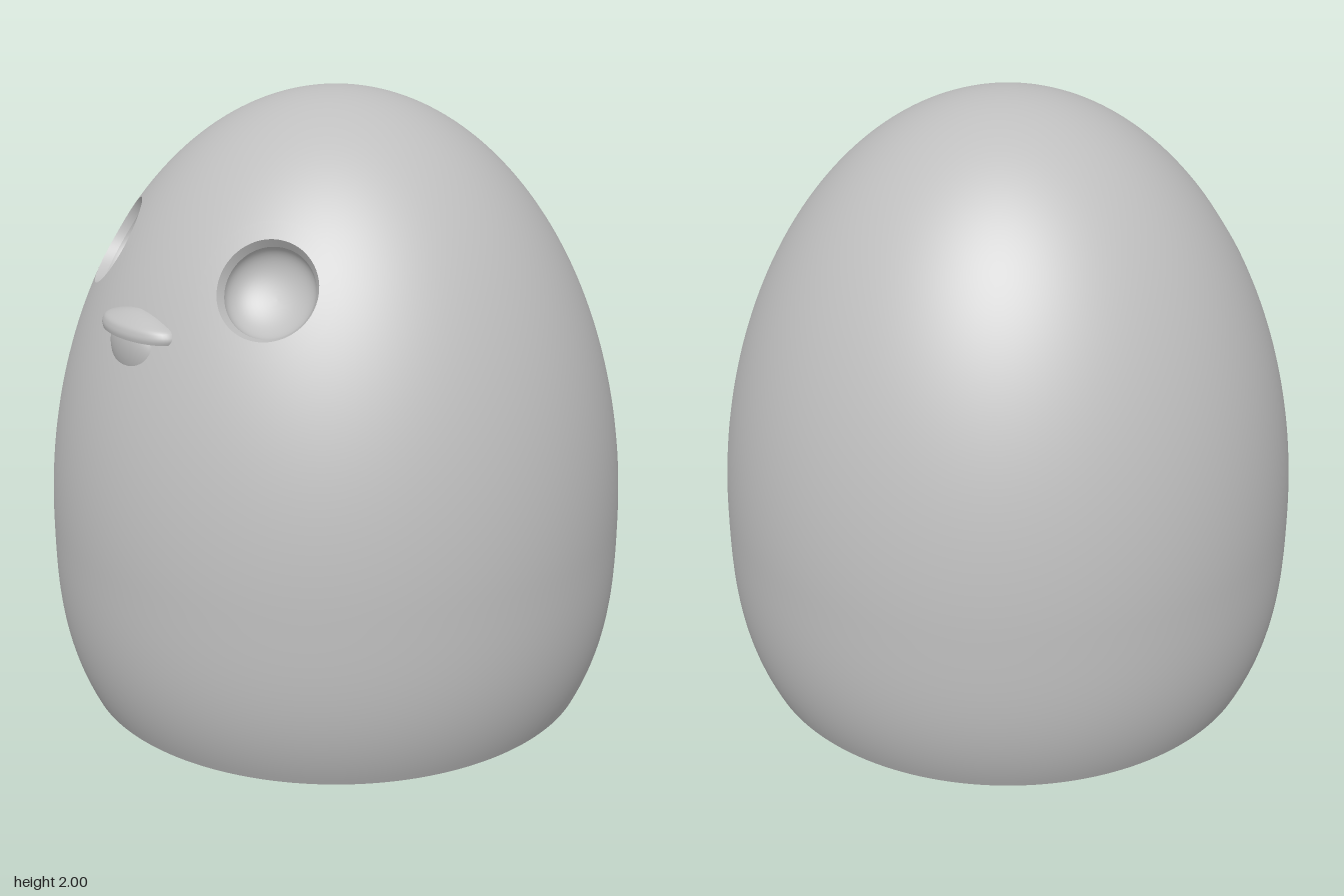
import * as THREE from 'three';

const WIDEST = 0.945, BELLY = 0.6, EYE_R = 0.155;

// Egg radius at height y: half ellipse above the belly, gentle tuck below it
function eggRadius(y) {
  if (y >= BELLY) return WIDEST * Math.sqrt(Math.max(0, 1 - ((y - BELLY) / (2 - BELLY)) ** 2));
  return WIDEST * (1 - 0.106 * ((BELLY - y) / BELLY) ** 3);
}

// Local frame of an eye socket on the egg
function eyeFrame(side) {
  const a = Math.atan2(0.38 * side, -0.58), r = eggRadius(1.53);
  const centre = new THREE.Vector3(Math.cos(a) * r, 1.53, Math.sin(a) * r);
  const n = new THREE.Vector3(Math.cos(a) * 0.866, 0.5, Math.sin(a) * 0.866).normalize();
  const t1 = new THREE.Vector3(0, 1, 0).cross(n).normalize();
  const t2 = n.clone().cross(t1);
  return { centre, n, t1, t2 };
}

// Concentric rings [radius, depth] around an eye, measured from the egg surface
function ringSurface({ centre, n, t1, t2 }, rings, segs = 64) {
  const pos = [], idx = [];
  rings.forEach(([rho, depth], i) => {
    for (let j = 0; j < segs; j++) {
      const a = (j / segs) * Math.PI * 2;
      const p = centre.clone().addScaledVector(t1, rho * Math.cos(a)).addScaledVector(t2, rho * Math.sin(a));
      for (let k = 0; k < 10; k++) p.addScaledVector(n, -0.85 * (Math.hypot(p.x, p.z) - eggRadius(p.y)));
      p.addScaledVector(n, -depth);
      pos.push(p.x, p.y, p.z);
      if (i === rings.length - 1) continue;
      const b = i * segs + ((j + 1) % segs), c = i * segs + j;
      idx.push(c, b, c + segs, b, b + segs, c + segs);
    }
  });
  const g = new THREE.BufferGeometry();
  g.setAttribute('position', new THREE.Float32BufferAttribute(pos, 3));
  g.setIndex(idx);
  g.computeVertexNormals();
  return g;
}

// Egg shell with the triangles over the eye sockets left out
function shellGeometry(eyes) {
  const profile = [];
  for (let i = 0; i < 24; i++) {
    const y = (BELLY * i) / 24;
    profile.push(new THREE.Vector2(eggRadius(y), y));
  }
  for (let i = 0; i <= 72; i++) {
    const a = (i / 72) * Math.PI / 2;
    profile.push(new THREE.Vector2(i === 72 ? 0 : WIDEST * Math.cos(a), BELLY + (2 - BELLY) * Math.sin(a)));
  }
  const g = new THREE.LatheGeometry(profile, 160);
  const pos = g.attributes.position, old = g.index.array, kept = [];
  const v = new THREE.Vector3();
  const inEye = (i) => eyes.some(({ centre, n }) => {
    v.fromBufferAttribute(pos, i).sub(centre);
    return v.length() < 0.4 && v.addScaledVector(n, -v.dot(n)).length() < EYE_R * 1.05;
  });
  for (let i = 0; i < old.length; i += 3) {
    const tri = [old[i], old[i + 1], old[i + 2]];
    if (!tri.some(inEye)) kept.push(...tri);
  }
  g.setIndex(kept);
  return g;
}

export function createModel() {
  const group = new THREE.Group();
  const grey = new THREE.MeshStandardMaterial({ color: 0xbfbfbf, side: THREE.DoubleSide });
  grey.name = 'grey';
  const add = (name, geometry, parent = group) => {
    const m = new THREE.Mesh(geometry, grey);
    m.name = name;
    parent.add(m);
    return m;
  };

  // Body
  const eyes = [-1, 1].map(eyeFrame);
  add('body', shellGeometry(eyes));

  // Eye sockets: surface collar, short bevelled rim, hollow bowl
  const bowl = [];
  for (let i = 0; i <= 14; i++) {
    const a = (i / 14) * Math.PI / 2;
    bowl.push([0.14 * Math.cos(a) + 1e-5, 0.03 + 0.09 * Math.sin(a)]);
  }
  eyes.forEach((eye, i) => {
    const socket = new THREE.Group();
    socket.name = i ? 'leftEyeSocket' : 'rightEyeSocket';
    group.add(socket);
    add('collar', ringSurface(eye, [[0.215, 0], [0.195, 0], [0.175, 0], [EYE_R, 0]]), socket);
    add('rim', ringSurface(eye, [[EYE_R, 0], [0.14, 0.03]]), socket);
    add('bowl', ringSurface(eye, bowl), socket);
  });

  // Beak: domed upper half with a flat underside, and a soft chin below
  const beak = new THREE.Group();
  beak.name = 'beak';
  group.add(beak);
  const dome = [[1, 0], [1.02, 0.012], [1, 0.024], [0.93, 0.038], [0.75, 0.05], [0.5, 0.062], [0.25, 0.07], [0, 0.074]];
  const upper = add('upperBeak', new THREE.LatheGeometry(
    new THREE.SplineCurve(dome.map(([r, y]) => new THREE.Vector2(r, y))).getPoints(24)
      .map((p) => new THREE.Vector2(Math.max(0, p.x), p.y)), 48), beak);
  upper.scale.set(0.084, 1, 0.168);
  upper.position.set(-0.765, 1.345, 0);
  const under = add('beakUnderside', new THREE.CircleGeometry(1, 48).rotateX(Math.PI / 2), beak);
  under.scale.copy(upper.scale);
  under.position.copy(upper.position);
  const chin = add('lowerBeak', new THREE.SphereGeometry(1, 40, 28), beak);
  chin.scale.set(0.055, 0.12, 0.11);
  chin.rotation.z = 0.2;
  chin.position.set(-0.785, 1.285, 0);

  // Base disc with a square opening
  const half = 0.41, depth = 0.36, taper = 0.77;
  const disc = new THREE.Shape().absarc(0, 0, eggRadius(0), 0, Math.PI * 2);
  disc.holes.push(new THREE.Path([[-1, -1], [-1, 1], [1, 1], [1, -1]]
    .map(([x, y]) => new THREE.Vector2(x * half, y * half))));
  add('base', new THREE.ShapeGeometry(disc, 160).rotateX(Math.PI / 2));

  // Tapered square recess
  const r = half * Math.SQRT2;
  const walls = new THREE.CylinderGeometry(r * taper, r, depth, 4, 1, true)
    .rotateY(Math.PI / 4).translate(0, depth / 2, 0).toNonIndexed();
  walls.computeVertexNormals();
  add('recessWalls', walls);
  add('recessCeiling', new THREE.PlaneGeometry(2 * half * taper, 2 * half * taper)
    .rotateX(Math.PI / 2).translate(0, depth, 0));

  return group;
}
